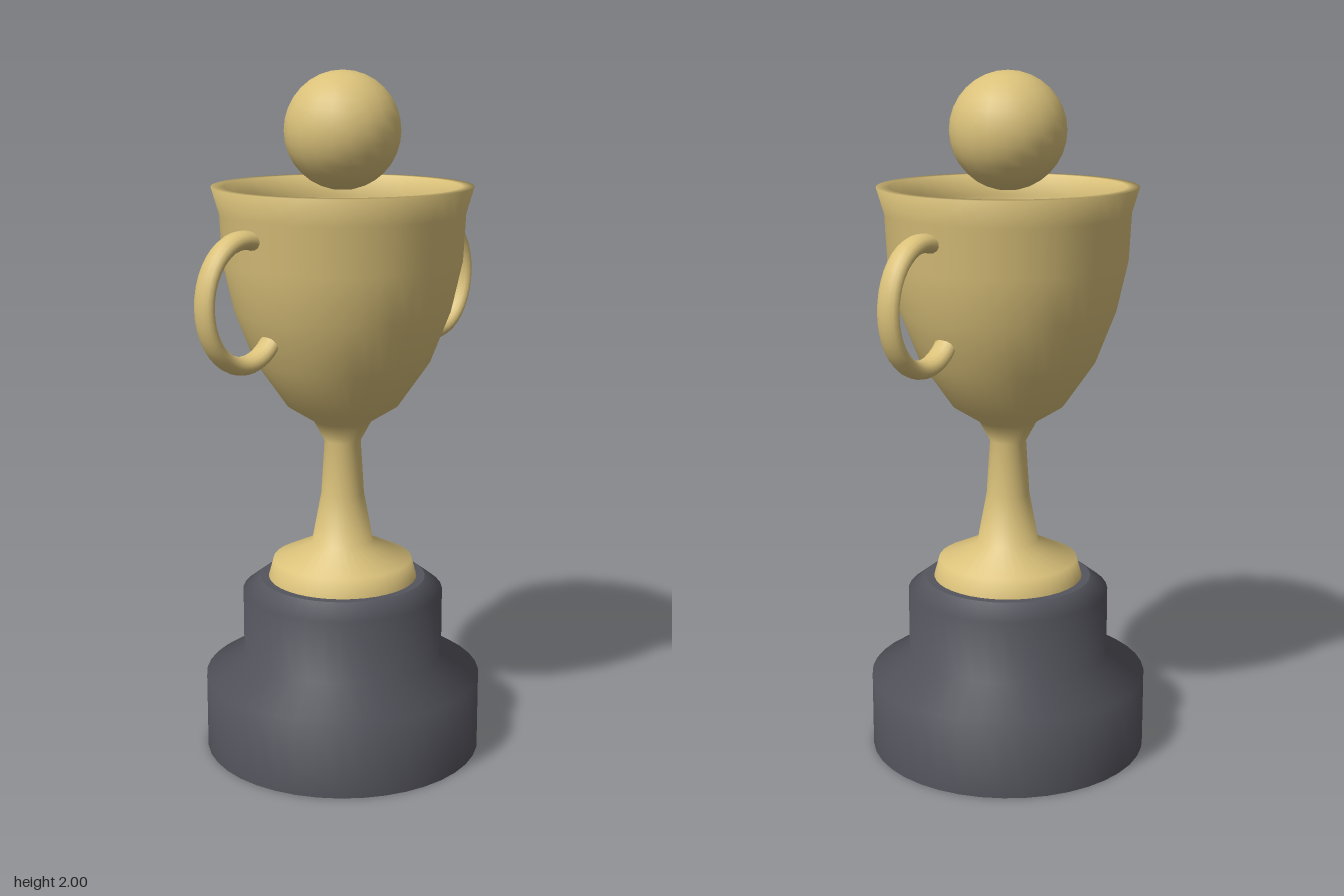
import * as THREE from 'three';

const gold = new THREE.MeshStandardMaterial({ color: 0xdac17a });
gold.name = 'gold';
const charcoal = new THREE.MeshStandardMaterial({ color: 0x54545d });
charcoal.name = 'charcoal';

function addPart(parent, name, geometry, material, x = 0, y = 0) {
  const mesh = new THREE.Mesh(geometry, material);
  mesh.name = name;
  mesh.position.set(x, y, 0);
  parent.add(mesh);
  return mesh;
}

// Profiles are [radius, height] pairs, listed from the bottom up the outside
function lathe(profile, segments = 40) {
  return new THREE.LatheGeometry(profile.map(([r, y]) => new THREE.Vector2(r, y)), segments);
}

export function createModel() {
  const trophy = new THREE.Group();
  trophy.name = 'trophy';

  // Stepped plinth with bevelled shoulders
  addPart(trophy, 'plinth', lathe([
    [0.41, 0], [0.41, 0.225], [0.297, 0.295], [0.297, 0.485], [0.245, 0.525],
  ]), charcoal);
  addPart(trophy, 'plinthTop', new THREE.CircleGeometry(0.245, 40).rotateX(-Math.PI / 2), charcoal, 0, 0.525);
  addPart(trophy, 'plinthBottom', new THREE.CircleGeometry(0.41, 40).rotateX(Math.PI / 2), charcoal);

  // Foot, stem and hollow bowl in one turned profile
  addPart(trophy, 'cup', lathe([
    [0.22, 0.525], [0.205, 0.58], [0.09, 0.635], [0.063, 0.78], [0.053, 0.94],
    [0.085, 1.0], [0.164, 1.05], [0.254, 1.18], [0.312, 1.33], [0.343, 1.47],
    [0.35, 1.605], [0.372, 1.68],
    // rim and inside of the bowl
    [0.336, 1.68], [0.319, 1.62], [0.316, 1.47], [0.285, 1.34], [0.228, 1.2],
    [0.14, 1.08], [0, 1.03],
  ]), gold);

  // Oval ring handles passing through the bowl wall
  for (const [name, side] of [['leftHandle', 1], ['rightHandle', -1]]) {
    const ring = new THREE.TorusGeometry(0.239, 0.036, 14, 40).scale(0.565, 0.72, 1);
    addPart(trophy, name, ring, gold, side * 0.375, 1.387);
  }

  // Ball above the bowl
  addPart(trophy, 'ball', new THREE.SphereGeometry(0.166, 20, 16), gold, 0, 1.834);

  return trophy;
}
